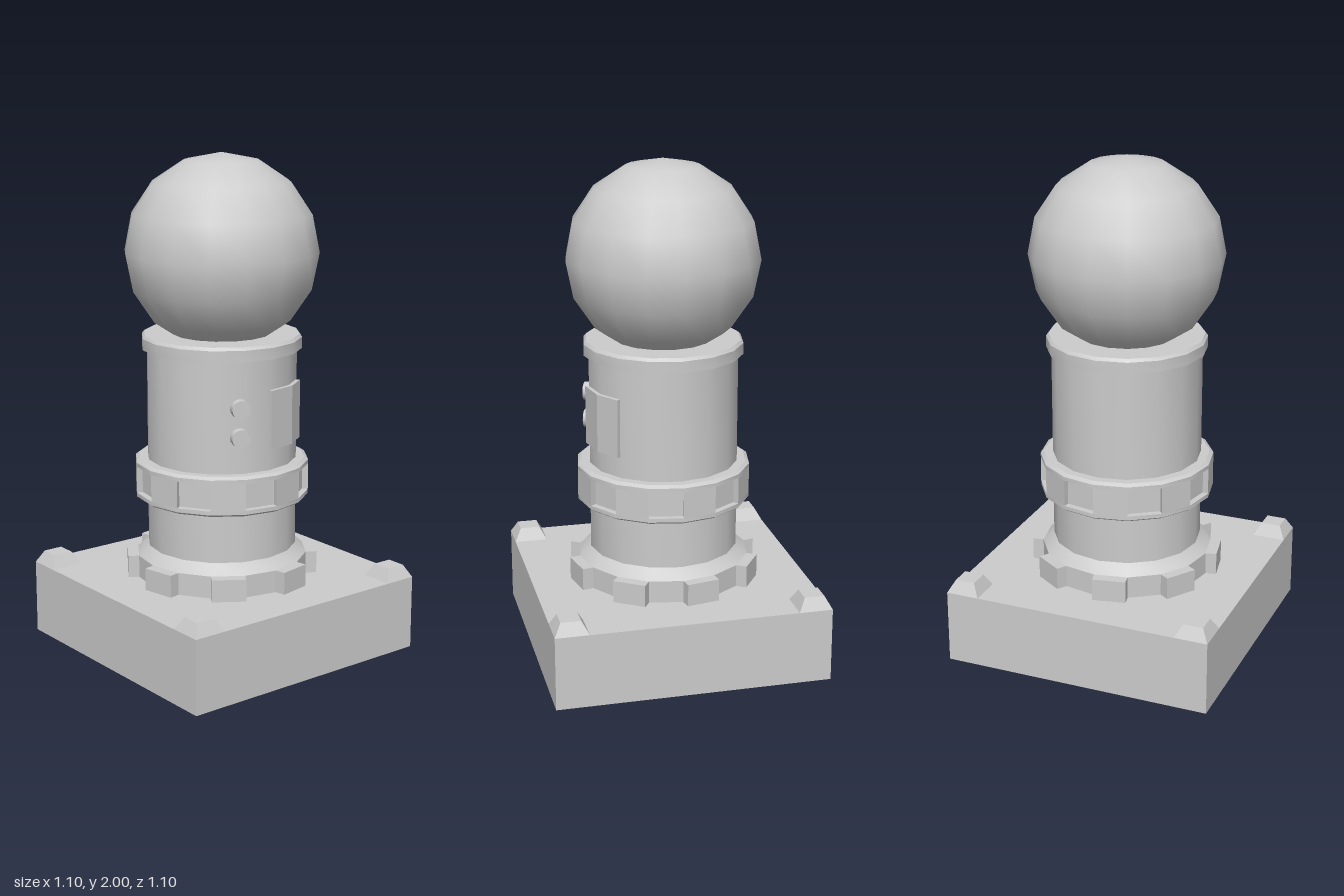
import * as THREE from 'three';
import { toCreasedNormals } from 'three/addons/utils/BufferGeometryUtils.js';

const SIDES = 16;
const STEP = (Math.PI * 2) / SIDES;

export function createModel() {
  const model = new THREE.Group();
  const material = new THREE.MeshStandardMaterial({ color: 0xcccccc });

  const add = (name, geometry, x = 0, y = 0, z = 0) => {
    const mesh = new THREE.Mesh(geometry, material);
    mesh.name = name;
    mesh.position.set(x, y, z);
    model.add(mesh);
    return mesh;
  };

  // Turned part from [radius, height] pairs, listed bottom to top
  const turned = (name, profile) => {
    const points = profile.map(([r, y]) => new THREE.Vector2(r, y));
    return add(name, toCreasedNormals(new THREE.LatheGeometry(points, SIDES), 0.5));
  };

  // Sixteen-sided prism whose alternate faces are shifted along their normals
  const cog = (name, radius, evenShift, oddShift, y, height) => {
    const points = [];
    for (let i = 0; i < SIDES; i++) {
      const shift = i % 2 ? oddShift : evenShift;
      const mid = (i + 0.5) * STEP;
      for (const a of [i * STEP, (i + 1) * STEP]) {
        points.push(new THREE.Vector2(
          radius * Math.sin(a) + shift * Math.sin(mid),
          -radius * Math.cos(a) - shift * Math.cos(mid)
        ));
      }
    }
    const geometry = new THREE.ExtrudeGeometry(new THREE.Shape(points), { depth: height, bevelEnabled: false });
    geometry.rotateX(-Math.PI / 2);
    return add(name, geometry, 0, y, 0);
  };

  // Square plinth with a bevelled stud on each corner
  add('plinth', new THREE.BoxGeometry(1.1, 0.3, 1.1), 0, 0.15, 0);
  for (const sx of [-1, 1]) {
    for (const sz of [-1, 1]) {
      const stud = new THREE.CylinderGeometry(0.04 * Math.SQRT2, 0.0675 * Math.SQRT2, 0.05, 4);
      stud.rotateY(Math.PI / 4);
      add('cornerStud', toCreasedNormals(stud, 0.3), sx * 0.4825, 0.325, sz * 0.4825);
    }
  }

  // Toothed foot with a sloped shoulder
  cog('footTeeth', 0.345, 0.044, 0, 0.3, 0.09);
  turned('footShoulder', [[0.345, 0.39], [0.3, 0.43]]);

  // Main column
  turned('column', [[0.3, 0.3], [0.3, 1.24]]);

  // Banded ring with eight recessed windows between two rims
  cog('ringWindows', 0.35, 0, -0.025, 0.655, 0.11);
  turned('ringLowerRim', [[0.29, 0.63], [0.335, 0.63], [0.35, 0.64], [0.35, 0.656], [0.29, 0.656]]);
  turned('ringUpperRim', [[0.29, 0.764], [0.35, 0.764], [0.35, 0.78], [0.335, 0.79], [0.29, 0.79]]);

  // Collar under the globe
  turned('collar', [[0.29, 1.23], [0.32, 1.235], [0.32, 1.28], [0.31, 1.292], [0, 1.292]]);

  // Globe
  add('globe', new THREE.SphereGeometry(0.385, SIDES, SIDES / 2), 0, 1.615, 0);

  // Raised panel that follows two faces of the column
  const outline = [[0, 0.29], [0, 0.315], [STEP, 0.317], [STEP * 1.9, 0.315], [STEP * 1.9, 0.29], [STEP, 0.29]]
    .map(([a, r]) => new THREE.Vector2(r * Math.sin(a), -r * Math.cos(a)));
  const panel = new THREE.ExtrudeGeometry(new THREE.Shape(outline), { depth: 0.235, bevelEnabled: false });
  panel.rotateX(-Math.PI / 2);
  add('frontPanel', panel, 0, 0.875, 0);

  // Two round buttons beside the panel
  const buttonAngle = -STEP * 1.08;
  for (const y of [0.935, 1.05]) {
    const button = new THREE.CylinderGeometry(0.036, 0.04, 0.05, 16);
    button.rotateX(Math.PI / 2);
    button.rotateY(buttonAngle);
    add('button', toCreasedNormals(button, 0.6), 0.297 * Math.sin(buttonAngle), y, 0.297 * Math.cos(buttonAngle));
  }

  return model;
}
